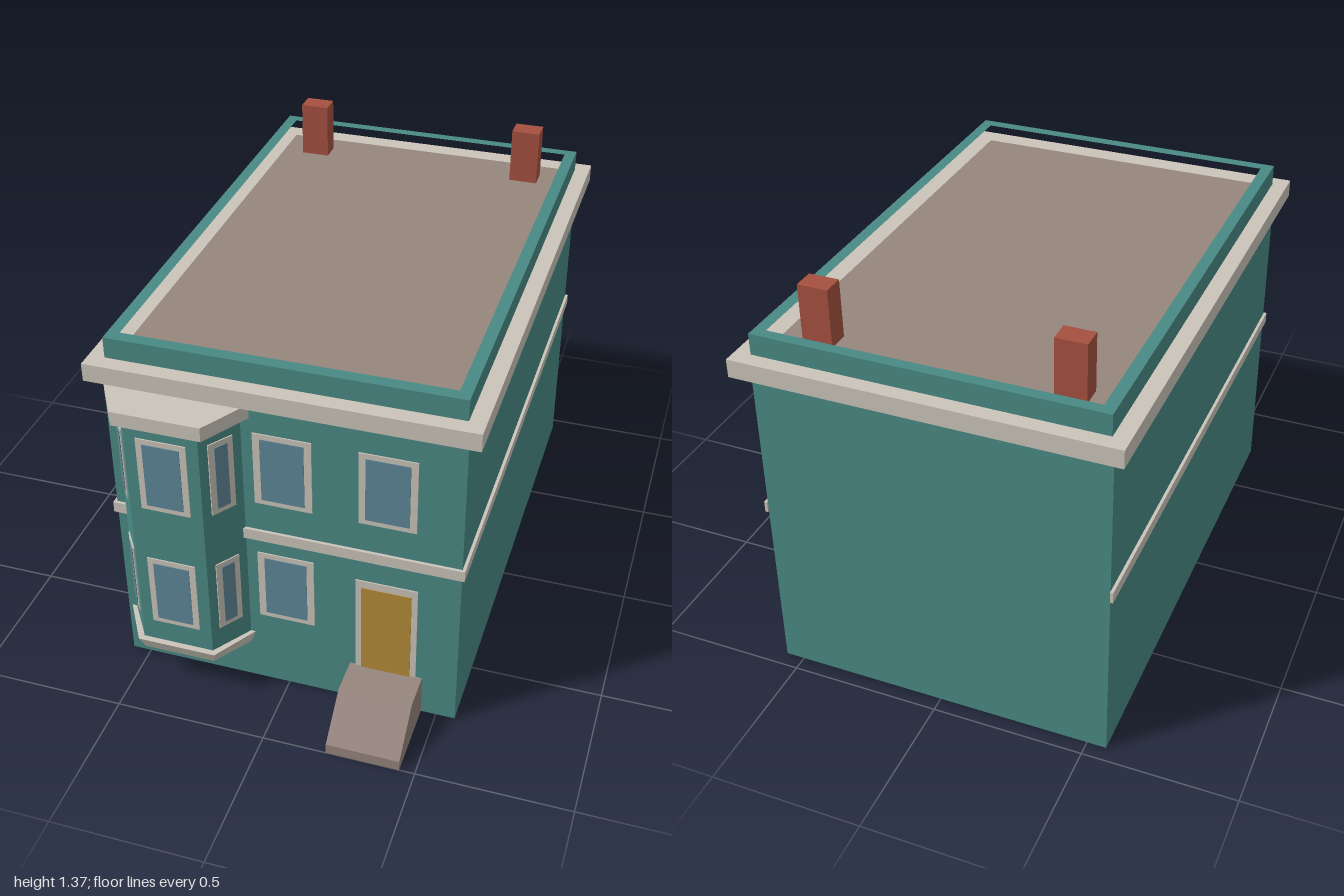
import * as THREE from 'three';

const mat = (name, color, side = THREE.FrontSide) => {
  const m = new THREE.MeshStandardMaterial({ color, side });
  m.name = name;
  return m;
};

// Prism or flared solid from convex plan rings [[x, z], ...], front edge running from -x to +x
function loft(rings, capTop = true, capBottom = true) {
  const pos = [];
  const add = (...pts) => pts.forEach(p => pos.push(...p));
  const levels = rings.map(([y, plan]) => plan.map(([x, z]) => [x, y, z]));
  for (let k = 0; k < levels.length - 1; k++) {
    const lo = levels[k], hi = levels[k + 1];
    lo.forEach((a, i) => {
      const j = (i + 1) % lo.length;
      add(a, lo[j], hi[j], a, hi[j], hi[i]);
    });
  }
  const bottom = levels[0], top = levels[levels.length - 1];
  for (let i = 1; i < top.length - 1; i++) {
    if (capTop) add(top[0], top[i], top[i + 1]);
    if (capBottom) add(bottom[0], bottom[i + 1], bottom[i]);
  }
  const g = new THREE.BufferGeometry();
  g.setAttribute('position', new THREE.Float32BufferAttribute(pos, 3));
  g.computeVertexNormals();
  return g;
}

const rect = (x0, x1, z0, z1) => [[x0, z1], [x1, z1], [x1, z0], [x0, z0]];

export function createModel() {
  const house = new THREE.Group();
  house.name = 'townhouse';

  const teal = mat('teal wall', 0x4a8a84);
  const tealShell = mat('teal wall', 0x4a8a84, THREE.DoubleSide);
  tealShell.name = 'teal shell';
  const trim = mat('stone trim', 0xcac4ba);
  const brown = mat('brown stone', 0x95857d);
  const red = mat('red brick', 0xa5503f);
  const blue = mat('window glass', 0x5f8799);
  const ochre = mat('ochre door', 0xb38b39);

  const add = (name, geometry, material, parent = house) => {
    const m = new THREE.Mesh(geometry, material);
    m.name = name;
    parent.add(m);
    return m;
  };
  const block = (name, x0, x1, y0, y1, z0, z1, material) => {
    const g = new THREE.BoxGeometry(x1 - x0, y1 - y0, z1 - z0);
    g.translate((x0 + x1) / 2, (y0 + y1) / 2, (z0 + z1) / 2);
    return add(name, g, material);
  };

  const W = 0.563, FRONT = 0.74, BACK = -0.95;

  // Main walls, open underneath
  const plan = rect(-W, W, BACK, FRONT);
  add('walls', loft([[0, plan], [1.12, plan]], false, false), tealShell);

  // Cornice, parapet ring and sunken roof
  block('cornice', -0.608, 0.608, 1.11, 1.17, -1, 0.782, trim);
  const ring = new THREE.Shape(rect(-0.556, 0.556, -0.73, 0.95).map(p => new THREE.Vector2(...p)));
  ring.holes.push(new THREE.Path(rect(-0.518, 0.518, -0.69, 0.914).map(p => new THREE.Vector2(...p))));
  const parapet = new THREE.ExtrudeGeometry(ring, { depth: 0.07, bevelEnabled: false });
  parapet.rotateX(-Math.PI / 2).translate(0, 1.17, 0);
  add('parapet', parapet, teal);
  block('roof', -0.519, 0.519, 1.17, 1.18, -0.915, 0.691, brown);

  // Chimneys
  for (const s of [-1, 1])
    block('chimney', s * 0.395 - 0.049, s * 0.395 + 0.049, 1.17, 1.37, -0.843, -0.773, red);

  // String course along the sides and across the front, broken by the bay
  const y0 = 0.595, y1 = 0.633;
  block('leftStringCourse', W, W + 0.01, y0, y1, -0.955, 0.75, trim);
  block('rightStringCourse', -W - 0.01, -W, y0, y1, -0.955, 0.75, trim);
  block('frontStringCourse', -0.135, W, y0, y1, FRONT, 0.75, trim);
  block('frontStringCourse', -W, -0.528, y0, y1, FRONT, 0.75, trim);

  // Bay with flared sill and cap
  const bayPlan = (b0, f0, f1, b1, z) => [[b0, 0.742], [f0, z], [f1, z], [b1, 0.742]];
  const bay = bayPlan(-0.534, -0.451, -0.213, -0.128, 0.866);
  add('bay', loft([[0.18, bay], [1.06, bay]]), teal);
  add('baySill', loft([[0.15, bay], [0.197, bayPlan(-0.55, -0.463, -0.201, -0.112, 0.886)]]), trim);
  const cap = bayPlan(-0.563, -0.473, -0.19, -0.1, 0.895);
  add('bayCap', loft([[1.052, cap], [1.1, cap]]), trim);

  // Framed opening: thin surround plate with a thin panel on it
  function opening(name, x, y, z, [w, h], [pw, ph], panel, turn = 0, panelY = 0) {
    const g = new THREE.Group();
    g.name = name;
    g.position.set(x, y, z);
    g.rotation.y = turn;
    add('frame', new THREE.BoxGeometry(w, h, 0.008), trim, g);
    add('panel', new THREE.BoxGeometry(pw, ph, 0.009), panel, g).position.set(0, panelY, 0.002);
    house.add(g);
  }

  // Windows on both floors
  for (const y of [0.41, 0.87]) {
    opening('bayFrontWindow', -0.332, y, 0.866, [0.16, 0.262], [0.119, 0.226], blue);
    opening('wallWindow', 0, y, FRONT, [0.185, 0.262], [0.138, 0.226], blue);
    for (const [a, b] of [[bay[0], bay[1]], [bay[2], bay[3]]]) {
      const turn = Math.atan2(a[1] - b[1], b[0] - a[0]);
      opening('baySideWindow', (a[0] + b[0]) / 2, y, (a[1] + b[1]) / 2,
        [0.087, 0.262], [0.046, 0.226], blue, turn);
    }
  }
  opening('wallWindow', 0.329, 0.87, FRONT, [0.182, 0.262], [0.138, 0.226], blue);

  // Front door, with the surround open at the foot
  opening('frontDoor', 0.329, 0.329, FRONT, [0.2, 0.362], [0.162, 0.335], ochre, 0, -0.0135);

  // Entrance steps with a sloping front
  const side = new THREE.Shape([[0.74, 0], [1, 0], [1, 0.037], [0.863, 0.148], [0.74, 0.148]]
    .map(([z, y]) => new THREE.Vector2(-z, y)));
  const steps = new THREE.ExtrudeGeometry(side, { depth: 0.24, bevelEnabled: false });
  steps.rotateY(Math.PI / 2).translate(0.21, 0, 0);
  add('entranceSteps', steps, brown);

  return house;
}
